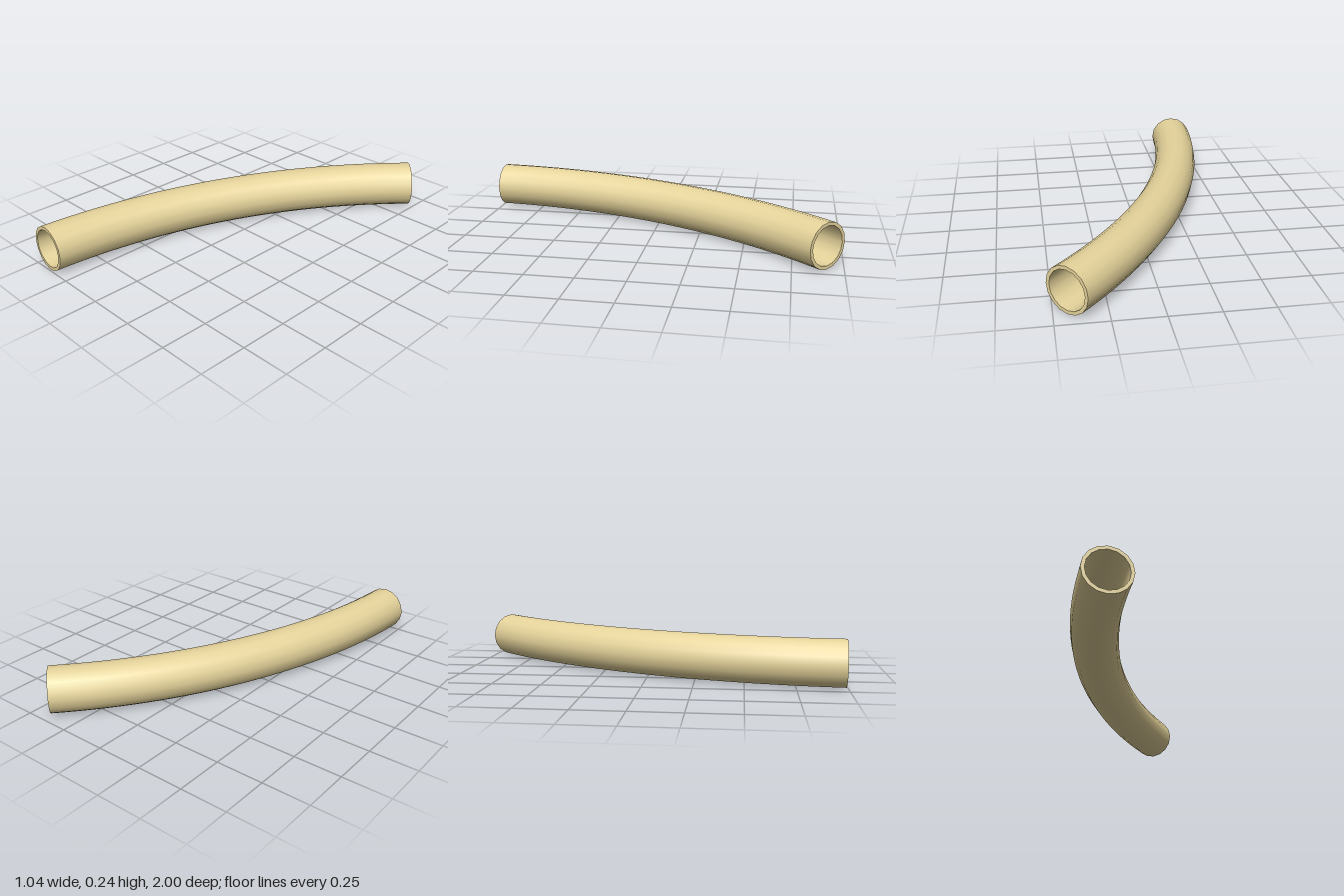
import * as THREE from 'three';

const OUTER = 0.12, INNER = 0.102, SIDES = 16, STEPS = 32;
const BEND_RADIUS = 2.985;
const START = THREE.MathUtils.degToRad(3.2), END = THREE.MathUtils.degToRad(44);

// Bends a straight upright part (y = 0..1) along a horizontal circular arc
function bend(geometry) {
  const pos = geometry.attributes.position, nor = geometry.attributes.normal;
  const cx = -0.398 + BEND_RADIUS * Math.cos(START);
  const cz = 0.992 + BEND_RADIUS * Math.sin(START);
  for (let i = 0; i < pos.count; i++) {
    const a = START + (END - START) * pos.getY(i);
    const c = Math.cos(a), s = Math.sin(a);
    const d = pos.getX(i) - BEND_RADIUS;
    pos.setXYZ(i, cx + d * c, OUTER + pos.getZ(i), cz + d * s);
    const nx = nor.getX(i), ny = nor.getY(i), nz = nor.getZ(i);
    nor.setXYZ(i, nx * c + ny * s, nz, nx * s - ny * c);
  }
  return geometry;
}

export function createModel() {
  const group = new THREE.Group();
  group.name = 'curvedPipe';
  const material = new THREE.MeshStandardMaterial({ color: 0xe6d49b });

  // Wall cross-section, walked round once; each side is its own surface so rims stay sharp
  const corners = [[INNER, 0], [OUTER, 0], [OUTER, 1], [INNER, 1]];
  const names = ['frontRim', 'outerWall', 'backRim', 'innerWall'];
  names.forEach((name, i) => {
    const from = new THREE.Vector2(...corners[i]);
    const to = new THREE.Vector2(...corners[(i + 1) % 4]);
    const steps = name.endsWith('Wall') ? STEPS : 1;
    const points = Array.from({ length: steps + 1 }, (_, k) => from.clone().lerp(to, k / steps));
    const mesh = new THREE.Mesh(bend(new THREE.LatheGeometry(points, SIDES)), material);
    mesh.name = name;
    group.add(mesh);
  });
  return group;
}
